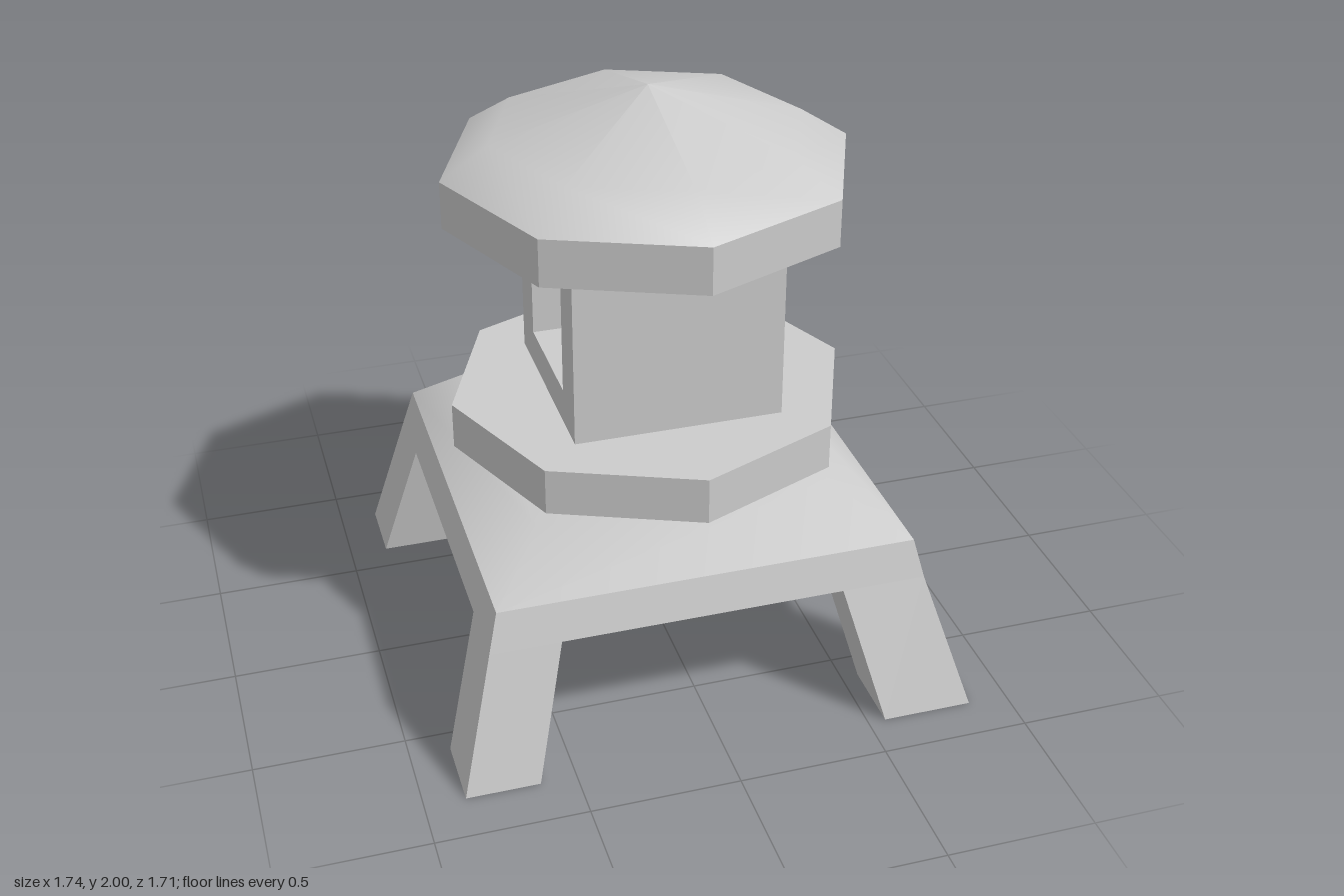
import * as THREE from 'three';

const stone = new THREE.MeshStandardMaterial({ color: 0xcccccc });

// Rectangular cross-section at height y, counter-clockwise from above
const rect = (y, x0, x1, z0, z1) => [[x0, y, z1], [x1, y, z1], [x1, y, z0], [x0, y, z0]];

// Four-sided solid through rectangles listed from bottom to top
function loft(rings, { smooth = false, bottom = true } = {}) {
  const index = [];
  const quad = (a, b, c, d) => index.push(a, b, c, a, c, d);
  for (let r = 0; r < rings.length - 1; r++) {
    for (let i = 0; i < 4; i++) {
      const j = (i + 1) % 4, lo = r * 4, hi = lo + 4;
      quad(lo + i, lo + j, hi + j, hi + i);
    }
  }
  const t = (rings.length - 1) * 4;
  quad(t, t + 1, t + 2, t + 3);
  if (bottom) quad(3, 2, 1, 0);
  let geo = new THREE.BufferGeometry();
  geo.setAttribute('position', new THREE.Float32BufferAttribute(rings.flat(2), 3));
  geo.setIndex(index);
  if (!smooth) geo = geo.toNonIndexed();
  geo.computeVertexNormals();
  return geo;
}

export function createModel() {
  const model = new THREE.Group();
  model.name = 'stoneLantern';
  const add = (name, geo, parent = model) => {
    const mesh = new THREE.Mesh(geo, stone);
    mesh.name = name;
    parent.add(mesh);
    return mesh;
  };

  // Four splayed legs: foot rectangle up to the underside of the base
  const legs = new THREE.Group();
  legs.name = 'legs';
  model.add(legs);
  const feet = {
    frontRightLeg: [[-0.865, -0.62, 0.58, 0.83], [-0.745, -0.51, 0.48, 0.715]],
    frontLeftLeg: [[0.56, 0.865, 0.60, 0.85], [0.44, 0.725, 0.48, 0.715]],
    backRightLeg: [[-0.87, -0.63, -0.855, -0.61], [-0.745, -0.51, -0.76, -0.52]],
    backLeftLeg: [[0.54, 0.84, -0.855, -0.61], [0.44, 0.725, -0.76, -0.52]],
  };
  for (const [name, [foot, top]] of Object.entries(feet)) {
    add(name, loft([rect(0, ...foot), rect(0.46, ...top)]), legs);
  }

  // Base: tapered skirt with a softly shaded sloping top
  const rim = rect(0.59, -0.71, 0.695, -0.73, 0.68);
  add('baseSkirt', loft([rect(0.46, -0.745, 0.725, -0.76, 0.715), rim]));
  add('baseTop', loft([rim, rect(0.76, -0.53, 0.45, -0.53, 0.5)], { smooth: true, bottom: false }));

  // Octagonal platform and roof rim
  for (const [name, y] of [['platform', 0.86], ['roofRim', 1.67]]) {
    const geo = new THREE.CylinderGeometry(0.68, 0.68, 0.16, 8).toNonIndexed();
    geo.computeVertexNormals();
    add(name, geo).position.set(-0.01, y, -0.02);
  }

  // Light chamber: square block with a window passing through from side to side
  const wall = new THREE.Shape();
  wall.moveTo(-0.335, 0.94).lineTo(0.365, 0.94).lineTo(0.365, 1.59).lineTo(-0.335, 1.59).closePath();
  const hole = new THREE.Path();
  hole.moveTo(-0.19, 1.06).lineTo(-0.19, 1.47).lineTo(0.22, 1.47).lineTo(0.22, 1.06).closePath();
  wall.holes.push(hole);
  const chamber = add('lightChamber',
    new THREE.ExtrudeGeometry(wall, { depth: 0.705, bevelEnabled: false }));
  chamber.rotation.y = Math.PI / 2;
  chamber.position.x = -0.36;

  // Smooth-shaded eight-sided roof
  const profile = [[0.68, 1.75], [0.52, 1.855], [0, 2]].map(([r, y]) => new THREE.Vector2(r, y));
  add('roof', new THREE.LatheGeometry(profile, 8)).position.set(-0.01, 0, -0.02);

  return model;
}
